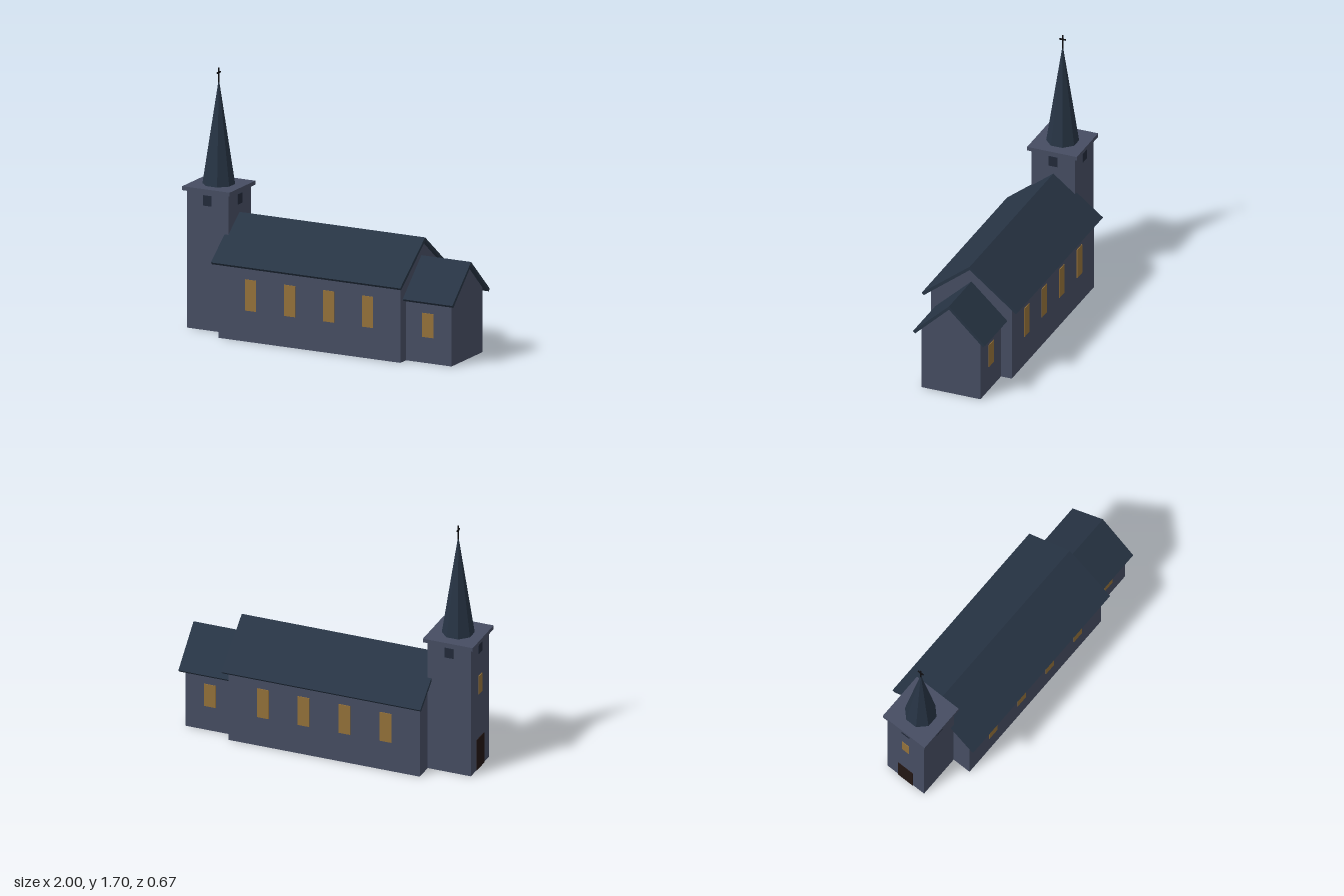
import * as THREE from 'three';

const mat = (name, color, side = THREE.FrontSide) => {
  const m = new THREE.MeshStandardMaterial({ color, side });
  m.name = name;
  return m;
};

// Drop the floor triangles so a shell is open underneath
function openBottom(geo) {
  const g = geo.index ? geo.toNonIndexed() : geo;
  const p = g.attributes.position;
  const kept = [];
  for (let i = 0; i < p.count; i += 3) {
    if (Math.max(p.getY(i), p.getY(i + 1), p.getY(i + 2)) < 1e-4) continue;
    for (let k = i; k < i + 3; k++) kept.push(p.getX(k), p.getY(k), p.getZ(k));
  }
  const out = new THREE.BufferGeometry();
  out.setAttribute('position', new THREE.Float32BufferAttribute(kept, 3));
  out.computeVertexNormals();
  return out;
}

// Extrude a (z, y) outline along x from x0 to x1
function alongX(points, x0, x1) {
  const shape = new THREE.Shape(points.map(([a, b]) => new THREE.Vector2(a, b)));
  return new THREE.ExtrudeGeometry(shape, { depth: x1 - x0, bevelEnabled: false })
    .rotateY(Math.PI / 2)
    .translate(x0, 0, 0);
}

export function createModel() {
  const root = new THREE.Group();
  root.name = 'church';

  const wall = mat('slate grey wall', 0x464d62, THREE.DoubleSide);
  const roof = mat('dark blue roof', 0x273444);
  const glass = mat('amber window', 0x94713a);
  const louvre = mat('belfry dark', 0x222a3a);
  const wood = mat('door brown', 0x221613);
  const iron = mat('black iron', 0x0d0d10);

  const add = (name, geo, material) => {
    const m = new THREE.Mesh(geo, material);
    m.name = name;
    root.add(m);
    return m;
  };
  const box = (name, material, x0, x1, y0, y1, z0, z1) =>
    add(name, new THREE.BoxGeometry(x1 - x0, y1 - y0, z1 - z0)
      .translate((x0 + x1) / 2, (y0 + y1) / 2, (z0 + z1) / 2), material);

  // Gabled hall: open-bottomed walls plus an overhanging chevron roof
  function hall(name, s) {
    const walls = [[-s.half, 0], [s.half, 0], [s.half, s.wallTop], [0, s.peak], [-s.half, s.wallTop]];
    add(name + 'Walls', openBottom(alongX(walls, s.x0, s.x1)), wall);
    const slab = [
      [-s.eave, s.eaveY], [-s.eave + 0.014, s.eaveY - 0.015], [0, s.ridge - 0.024],
      [s.eave - 0.014, s.eaveY - 0.015], [s.eave, s.eaveY], [0, s.ridge],
    ];
    add(name + 'Roof', alongX(slab, s.roof0, s.roof1), roof);
    for (const side of [-1, 1]) {
      const z = side * s.half;
      for (const x of s.windows)
        box(name + 'Window', glass, x - 0.04, x + 0.04, s.sill, s.head, z - 0.0045, z + 0.0045);
    }
  }

  hall('nave', {
    x0: -0.68, x1: 0.64, half: 0.28, wallTop: 0.525, peak: 0.743,
    roof0: -0.705, roof1: 0.667, eave: 0.333, eaveY: 0.505, ridge: 0.765,
    windows: [-0.445, -0.16, 0.122, 0.403], sill: 0.205, head: 0.41,
  });
  hall('chancel', {
    x0: 0.64, x1: 0.97, half: 0.205, wallTop: 0.433, peak: 0.623,
    roof0: 0.64, roof1: 1.0, eave: 0.25, eaveY: 0.412, ridge: 0.645,
    windows: [0.8], sill: 0.17, head: 0.328,
  });

  // Tower with an overhanging cap
  const tx = -0.828, half = 0.15;
  add('towerWalls', openBottom(new THREE.BoxGeometry(half * 2, 0.91, half * 2).translate(tx, 0.455, 0)), wall);
  box('towerCap', wall, -1.0, -0.656, 0.907, 0.933, -0.172, 0.172);

  // Belfry openings on all four sides
  for (let i = 0; i < 4; i++) {
    const plate = add('belfryOpening', new THREE.BoxGeometry(0.06, 0.068, 0.009).translate(0, 0, half), louvre);
    plate.position.set(tx, 0.853, 0);
    plate.rotation.y = i * Math.PI / 2;
  }

  // West door and the window above it
  const west = tx - half;
  box('door', wood, west - 0.0045, west + 0.0045, 0, 0.215, -0.06, 0.06);
  box('towerWindow', glass, west - 0.0045, west + 0.0045, 0.53, 0.66, -0.028, 0.028);

  // Octagonal spire, flat faces toward the axes
  const spire = new THREE.CylinderGeometry(0.001, 0.105, 0.685, 8, 1)
    .rotateY(Math.PI / 8).toNonIndexed();
  spire.computeVertexNormals();
  add('spire', spire.translate(tx, 1.2755, 0), roof);

  // Cross
  box('crossUpright', iron, tx - 0.004, tx + 0.004, 1.6, 1.695, -0.004, 0.004);
  box('crossArm', iron, tx - 0.004, tx + 0.004, 1.66, 1.668, -0.022, 0.022);

  return root;
}
